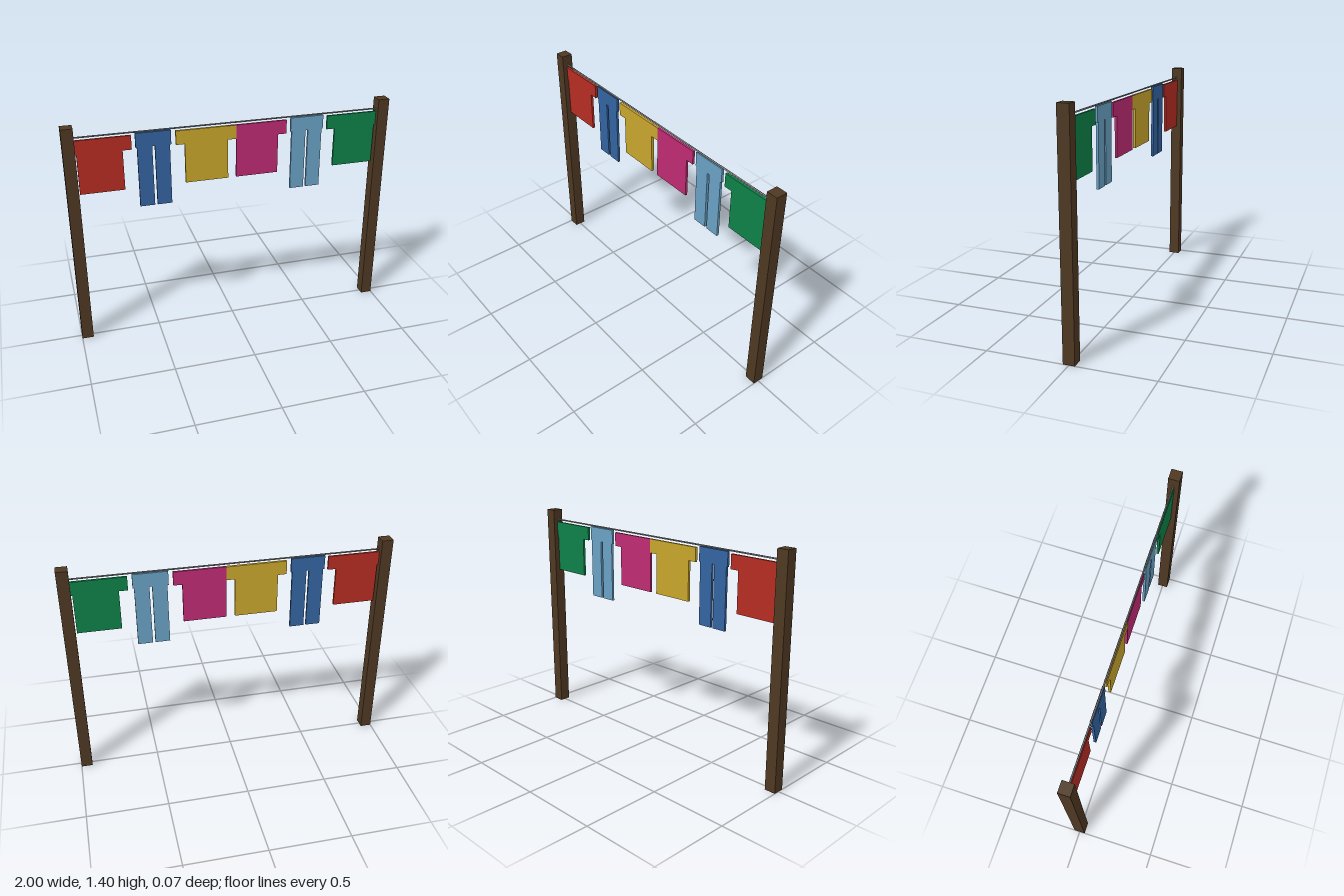
import * as THREE from 'three';

const mat = (name, color) => {
  const m = new THREE.MeshStandardMaterial({ color });
  m.name = name;
  return m;
};

// Flat garment cut from the right half of its outline, mirrored in x
function garment(half, depth) {
  const mirrored = half.map(([x, y]) => [-x, y]).reverse();
  const points = [...half, ...mirrored].map(([x, y]) => new THREE.Vector2(x, y));
  const geo = new THREE.ExtrudeGeometry(new THREE.Shape(points), { depth, bevelEnabled: false });
  return geo.translate(0, 0, -depth / 2);
}

export function createModel() {
  const group = new THREE.Group();
  const add = (name, geo, material, x, y) => {
    const mesh = new THREE.Mesh(geo, material);
    mesh.name = name;
    mesh.position.set(x, y, 0);
    group.add(mesh);
    return mesh;
  };

  // Square wooden posts
  const wood = mat('dark wood', 0x4e3822);
  const postGeo = new THREE.BoxGeometry(0.07, 1.4, 0.07);
  add('rightPost', postGeo, wood, -0.965, 0.7);
  add('leftPost', postGeo, wood, 0.965, 0.7);

  // Line strung between the posts
  const line = add('line', new THREE.CylinderGeometry(0.005, 0.005, 1.9, 8), mat('grey rope', 0x808080), 0, 1.335);
  line.rotation.z = Math.PI / 2;

  // Shirts: body with short sleeves (the yellow one overlaps its neighbour)
  const shirt = [[0.132, 0.985], [0.132, 1.232], [0.185, 1.232], [0.185, 1.318]];
  const shirts = [
    ['redShirt', 0xb52c22, -0.791, 0.015],
    ['yellowShirt', 0xc8a52c, -0.16, 0.016],
    ['pinkShirt', 0xbe2b73, 0.156, 0.014],
    ['greenShirt', 0x0e8048, 0.79, 0.015],
  ];
  for (const [name, color, x, depth] of shirts) {
    add(name, garment(shirt, depth), mat(name + ' cloth', color), x, 0);
  }

  // Trousers: wider waist over two straight legs
  const trousers = [[0.008, 1.24], [0.008, 0.863], [0.097, 0.863], [0.097, 1.24], [0.105, 1.24], [0.105, 1.328]];
  const pants = [
    ['blueTrousers', 0x3364a0, -0.478],
    ['paleTrousers', 0x69a1c4, 0.473],
  ];
  for (const [name, color, x] of pants) {
    add(name, garment(trousers, 0.015), mat(name + ' cloth', color), x, 0);
  }

  return group;
}
